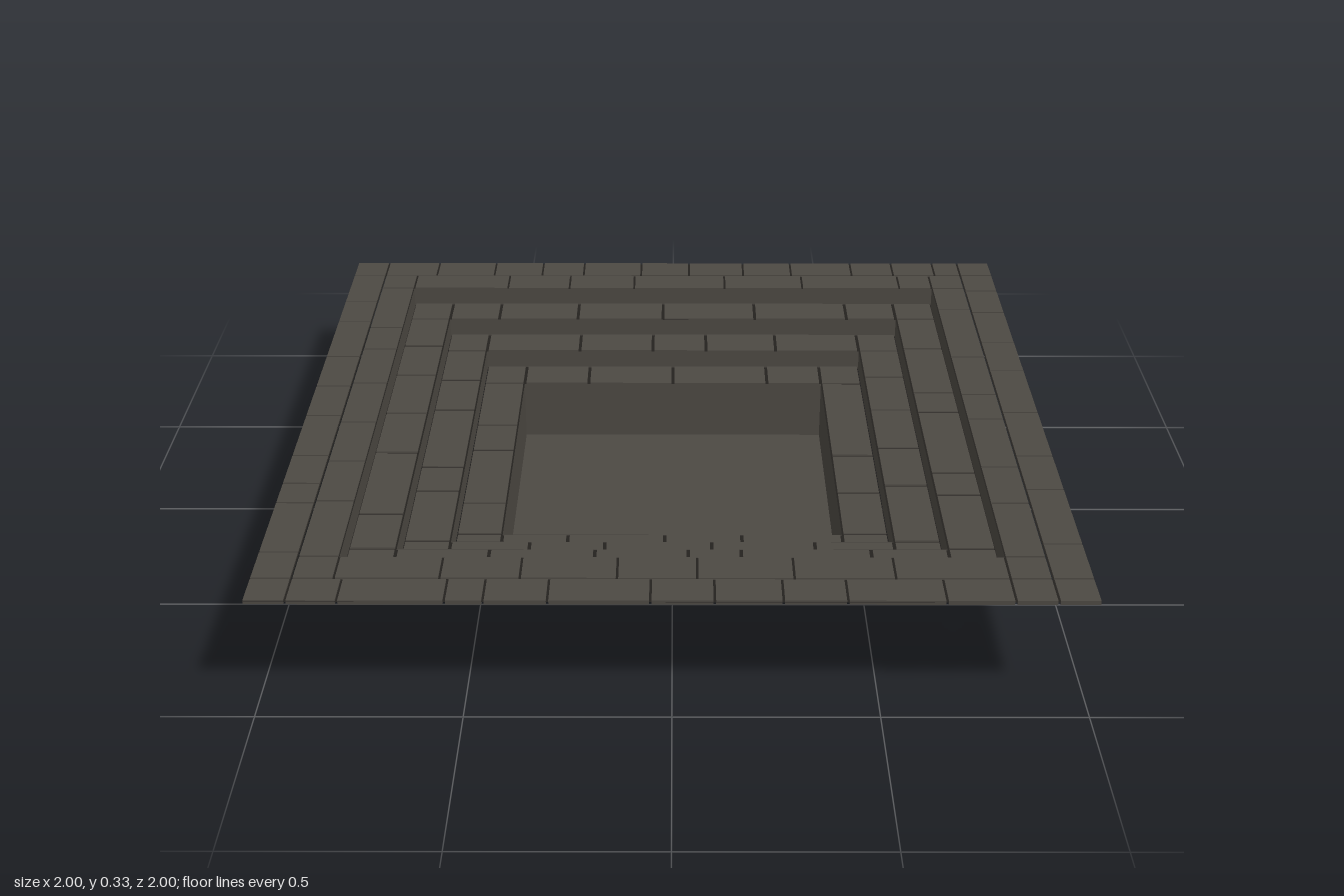
import * as THREE from 'three';
import { mergeGeometries } from 'three/addons/utils/BufferGeometryUtils.js';

const THICK = 0.011; // paving slab thickness

// Square paving rings: outer and inner half-width, top height, joint width,
// and the joint positions along the back, front, left-hand and right-hand runs.
const RINGS = [
  { name: 'outerRim', o: 1.0, i: 0.9, y: 0.328, gap: 0.006,
    back: [-0.74, -0.56, -0.41, -0.28, -0.1, 0.05, 0.22, 0.37, 0.56, 0.69, 0.82],
    front: [-0.78, -0.53, -0.44, -0.29, -0.05, 0.1, 0.26, 0.41, 0.64, 0.8],
    west: [-0.7, -0.55, -0.31, -0.12, 0.06, 0.29, 0.44, 0.54, 0.78],
    east: [-0.78, -0.62, -0.41, -0.22, 0.04, 0.29, 0.47, 0.74] },
  { name: 'innerRim', o: 0.9, i: 0.8, y: 0.328, gap: 0.006,
    back: [-0.51, -0.32, -0.12, 0.16, 0.4, 0.7],
    front: [-0.55, -0.36, -0.13, 0.06, 0.29, 0.53],
    west: [-0.51, -0.36, -0.14, 0.1, 0.32, 0.53],
    east: [-0.64, -0.31, -0.07, 0.08, 0.35, 0.54] },
  { name: 'upperStep', o: 0.8, i: 0.68, y: 0.278, gap: 0.009,
    back: [-0.53, -0.29, -0.03, 0.25, 0.53],
    front: [-0.45, -0.19, 0.04, 0.17, 0.49],
    west: [-0.49, -0.29, -0.05, 0.18, 0.51],
    east: [-0.47, -0.18, -0.06, 0.29, 0.41] },
  { name: 'middleStep', o: 0.68, i: 0.56, y: 0.228, gap: 0.009,
    back: [-0.28, -0.06, 0.1, 0.31],
    front: [-0.36, -0.17, 0.1, 0.36],
    west: [-0.36, -0.17, 0.17, 0.3],
    east: [-0.38, -0.17, 0.06, 0.27] },
  { name: 'lowerStep', o: 0.56, i: 0.44, y: 0.178, gap: 0.009,
    back: [-0.25, 0, 0.28],
    front: [-0.27, -0.02, 0.18],
    west: [-0.17, -0.02, 0.28],
    east: [0.01, 0.22] },
];

// One slab filling a rectangle, less half a joint on every side
function slab(x0, x1, z0, z1, top, gap) {
  return new THREE.BoxGeometry(x1 - x0 - gap, THICK, z1 - z0 - gap)
    .translate((x0 + x1) / 2, top - THICK / 2, (z0 + z1) / 2);
}

// All slabs of one ring; back and front runs carry the corners
function ringSlabs({ o, i, y, gap, back, front, west, east }) {
  const parts = [];
  const run = (stops, place) => {
    for (let k = 1; k < stops.length; k++) parts.push(place(stops[k - 1], stops[k]));
  };
  const full = (joints) => [-o, -i, ...joints, i, o];
  const side = (joints) => [-i, ...joints, i];
  run(full(back), (a, b) => slab(a, b, -o, -i, y, gap));
  run(full(front), (a, b) => slab(a, b, i, o, y, gap));
  run(side(west), (a, b) => slab(-o, -i, a, b, y, gap));
  run(side(east), (a, b) => slab(i, o, a, b, y, gap));
  return mergeGeometries(parts);
}

// Flat square ring of mortar showing in the joints
function mortarRing(o, i, y) {
  const square = (path, h) =>
    path.moveTo(-h, -h).lineTo(h, -h).lineTo(h, h).lineTo(-h, h).closePath();
  const shape = square(new THREE.Shape(), o);
  shape.holes.push(square(new THREE.Path(), i));
  return new THREE.ShapeGeometry(shape).rotateX(-Math.PI / 2).translate(0, y, 0);
}

// Four upright faces around a square
function squareWall(h, bottom, top) {
  const sides = [];
  for (let k = 0; k < 4; k++) {
    sides.push(new THREE.PlaneGeometry(2 * h, top - bottom)
      .translate(0, (top + bottom) / 2, h).rotateY(k * Math.PI / 2));
  }
  return mergeGeometries(sides);
}

export function createModel() {
  const stone = new THREE.MeshStandardMaterial({ color: 0x4d4943, side: THREE.DoubleSide });
  stone.name = 'stone';
  const mortar = new THREE.MeshStandardMaterial({ color: 0x24221f, side: THREE.DoubleSide });
  mortar.name = 'mortar';

  const model = new THREE.Group();
  model.name = 'steppedPit';
  const add = (name, geometry, material) => {
    const mesh = new THREE.Mesh(geometry, material);
    mesh.name = name;
    model.add(mesh);
  };

  // Paved rim and steps
  for (const ring of RINGS) {
    add(ring.name + 'Slabs', ringSlabs(ring), stone);
    add(ring.name + 'Mortar', mortarRing(ring.o - 0.002, ring.i, ring.y - 0.004), mortar);
  }

  // Risers between the steps, and the deep basin wall
  RINGS.slice(1).forEach((ring, k) => {
    const next = RINGS[k + 2];
    const bottom = next ? next.y - THICK : 0;
    add(next ? ring.name + 'Riser' : 'basinWall', squareWall(ring.i, bottom, ring.y - 0.002), stone);
  });

  // Basin floor
  add('basinFloor', new THREE.BoxGeometry(0.88, 0.006, 0.88).translate(0, 0.003, 0), stone);

  return model;
}
